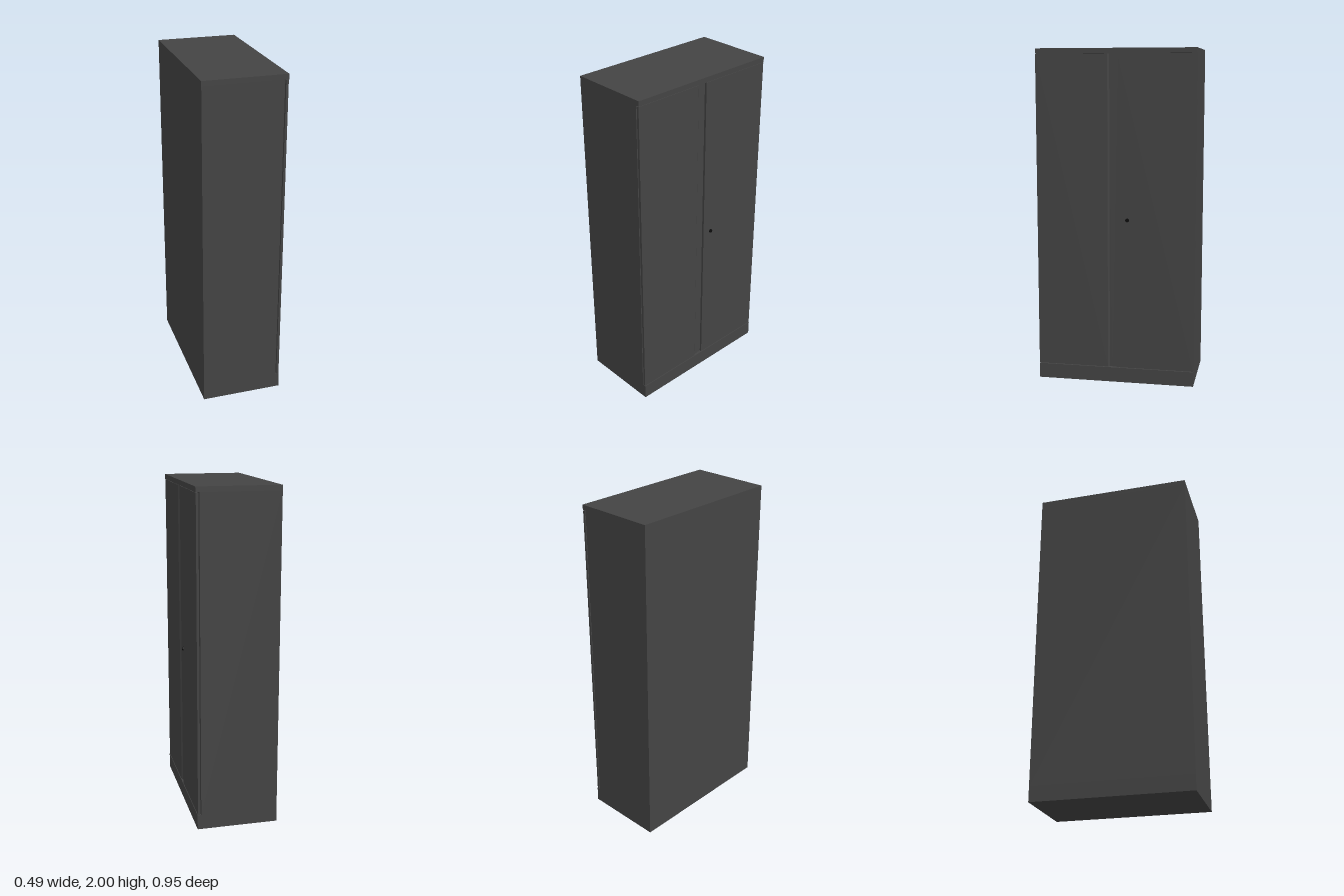
import * as THREE from 'three';

export function createModel() {
  const cabinet = new THREE.Group();
  cabinet.name = 'cabinet';
  const grey = new THREE.MeshStandardMaterial({ color: 0x444444 });
  const black = new THREE.MeshStandardMaterial({ color: 0x0c0c0c });

  const add = (name, geometry, material = grey) => {
    const mesh = new THREE.Mesh(geometry, material);
    mesh.name = name;
    cabinet.add(mesh);
    return mesh;
  };
  // Box given by its limits on each axis
  const box = (name, [x0, x1], [y0, y1], [z0, z1]) =>
    add(name, new THREE.BoxGeometry(x1 - x0, y1 - y0, z1 - z0))
      .position.set((x0 + x1) / 2, (y0 + y1) / 2, (z0 + z1) / 2);

  const back = -0.245, front = 0.239, half = 0.475;
  const doorBottom = 0.09, doorTop = 1.97;

  // Carcass, with the plinth and top reaching forward over the doors
  box('base', [back, front], [0, 0.035], [-half, half]);
  box('plinth', [back, front], [0.035, doorBottom], [-half, half]);
  box('carcass', [back, 0.217], [doorBottom, doorTop], [-half, half]);
  box('topPanel', [back, front], [doorTop, 2], [-half, half]);

  // Doors: plan outlines in (x, z), extruded upward
  const door = (name, outline) => {
    const shape = new THREE.Shape(outline.map(([x, z]) => new THREE.Vector2(x, -z)));
    const geometry = new THREE.ExtrudeGeometry(shape, {
      depth: doorTop - doorBottom - 0.006, bevelEnabled: false,
    });
    geometry.rotateX(-Math.PI / 2);
    add(name, geometry).position.y = doorBottom + 0.003;
  };
  const inner = 0.223, outer = 0.237;
  door('rightDoor', [[inner, -half], [outer, -half], [outer, -0.015], [inner, -0.015]]);
  // The other door has a recessed grip along its free edge
  door('leftDoor', [
    [inner, half], [outer, half], [outer, 0.045], [0.228, 0.035],
    [0.228, 0.02], [inner, 0.02],
  ]);
  // Centre strip behind the grip, joining the doors to the carcass
  box('centreStrip', [0.216, 0.224], [doorBottom, doorTop], [-0.015, 0.02]);

  // Lock on the right door
  const lock = new THREE.CylinderGeometry(0.011, 0.011, 0.008, 24);
  lock.rotateZ(Math.PI / 2);
  add('lock', lock, black).position.set(0.239, 1, -0.073);

  return cabinet;
}
